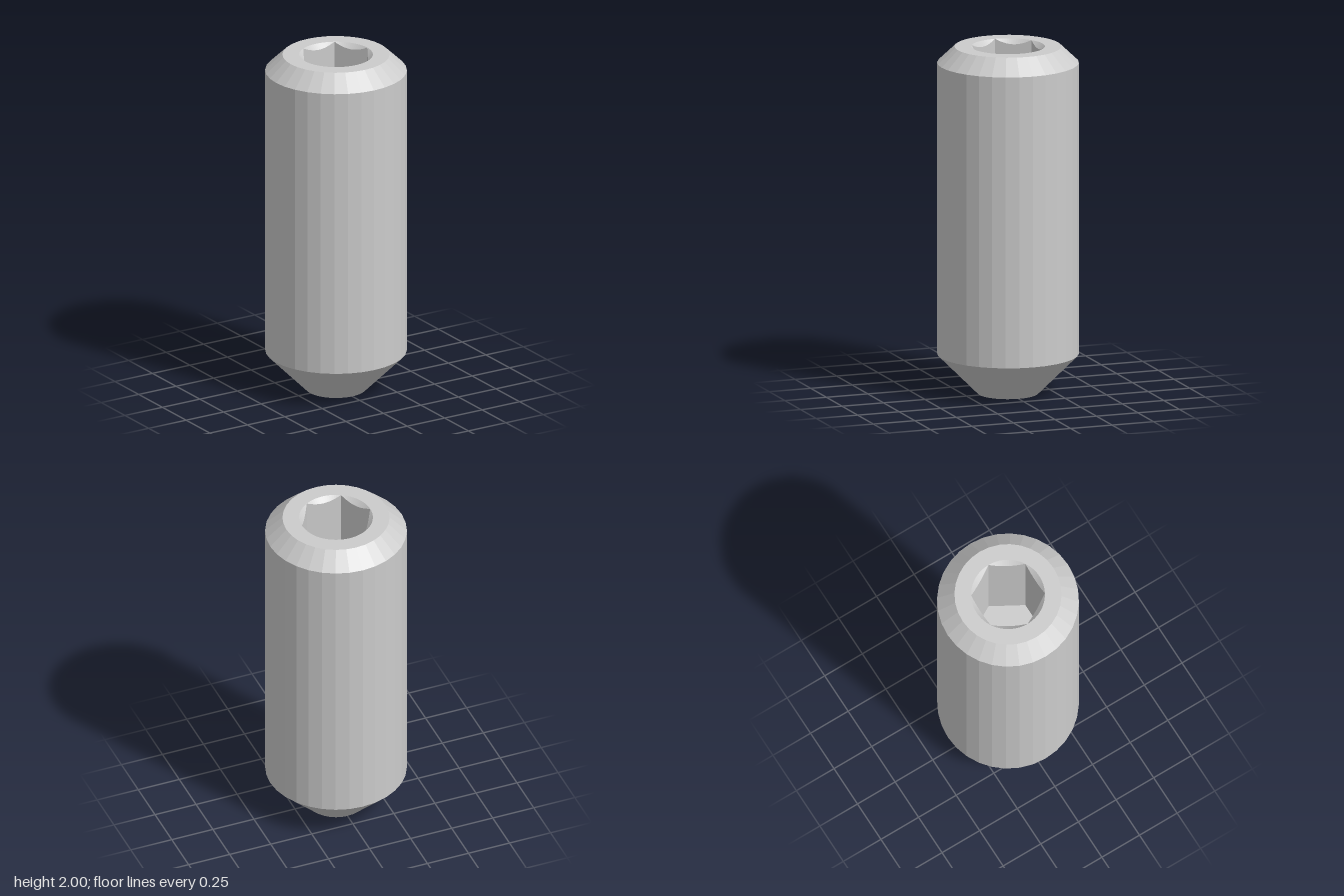
import * as THREE from 'three';

const SIDES = 32;      // facets round the body
const STEPS = 96;      // fits both the 32 facets and the 6 socket flats
const TOP = 2;
const RIM = 0.208;     // socket mouth radius, also the hexagon's corner radius
const FLOOR = 1.32;    // height of the socket floor

// Distance from the centre to the edge of a regular polygon at angle a
function polygonRadius(radius, sides, a) {
  const step = (Math.PI * 2) / sides;
  const local = ((a % step) + step) % step - step / 2;
  return radius * Math.cos(step / 2) / Math.cos(local);
}

// Skins a list of rings; each ring maps an angle to [radius, height]
function loft(rings) {
  const positions = [];
  const index = [];
  for (const ring of rings) {
    for (let i = 0; i <= STEPS; i++) {
      const a = (i % STEPS) / STEPS * Math.PI * 2;
      const [r, y] = ring(a);
      positions.push(r * Math.cos(a), y, r * Math.sin(a));
    }
  }
  const row = STEPS + 1;
  for (let j = 0; j < rings.length - 1; j++) {
    for (let i = 0; i < STEPS; i++) {
      const a = j * row + i, b = a + 1, c = a + row, d = c + 1;
      index.push(a, c, b);
      if (j < rings.length - 2) index.push(b, c, d); // last ring is a point
    }
  }
  const geometry = new THREE.BufferGeometry();
  geometry.setAttribute('position', new THREE.Float32BufferAttribute(positions, 3));
  geometry.setIndex(index);
  const flat = geometry.toNonIndexed();
  flat.computeVertexNormals();
  return flat;
}

export function createModel() {
  const group = new THREE.Group();
  group.name = 'setScrew';
  const material = new THREE.MeshStandardMaterial({ color: 0xcccccc, flatShading: true });

  // Shank with conical cup in the tip, tapered point and top chamfer
  const profile = [[0, 0.1], [0.172, 0], [0.4, 0.228], [0.4, 1.907], [0.302, TOP]]
    .map(([r, y]) => new THREE.Vector2(r, y));
  const shank = new THREE.Mesh(new THREE.LatheGeometry(profile, SIDES), material);
  shank.name = 'shank';
  group.add(shank);

  // End face, countersink, hexagonal walls and floor
  const hex = (a) => polygonRadius(RIM, 6, a);
  const socket = new THREE.Mesh(loft([
    (a) => [polygonRadius(0.302, SIDES, a), TOP],
    () => [RIM, TOP],
    (a) => [hex(a), TOP - (RIM - hex(a))],
    (a) => [hex(a), FLOOR],
    () => [0, FLOOR],
  ]), material);
  socket.name = 'hexSocket';
  group.add(socket);

  return group;
}
